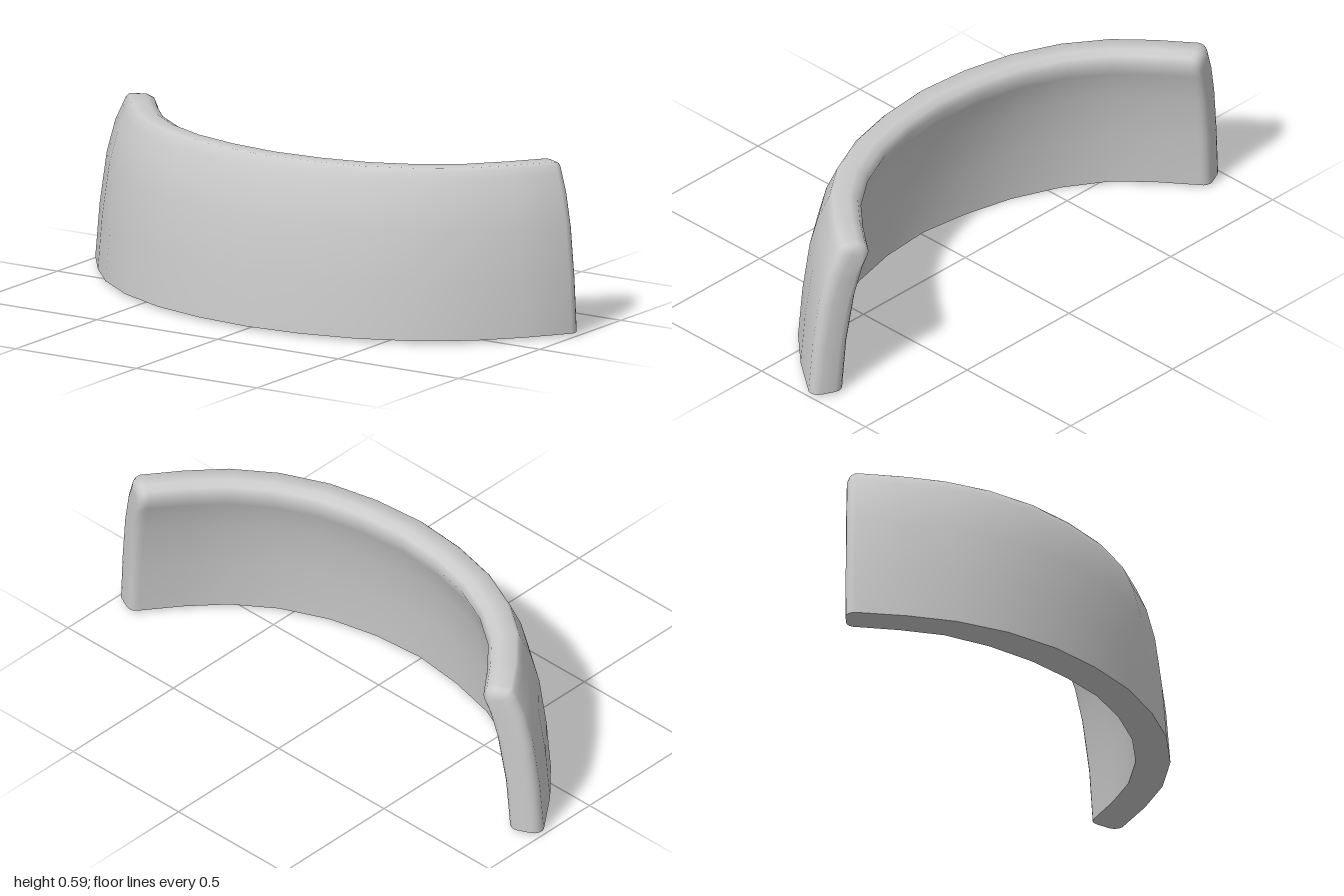
import * as THREE from 'three';
import { toCreasedNormals } from 'three/addons/utils/BufferGeometryUtils.js';

// Plan of the outer base edge, centre to left end: x, z
const PLAN = [[0, 0.325], [0.21, 0.307], [0.41, 0.26], [0.6, 0.175], [0.76, 0.06], [0.88, -0.07], [0.988, -0.215]];
// Wall cross-section: inward offset, height; up the outside, down the inside
const SECTION = [
  [0, 0.01], [0.015, 0.2], [0.04, 0.385], [0.07, 0.5], [0.095, 0.555], [0.107, 0.582], [0.118, 0.593],
  [0.178, 0.593], [0.205, 0.58], [0.217, 0.55], [0.196, 0.5], [0.165, 0.385], [0.135, 0.2], [0.12, 0.01],
];
const BASE = 0.01, HEIGHT = 0.583, ROUND = 0.035, ROUND_STEPS = 4;

// Stations along the left half: position, inward direction, inset of the section
function halfStations() {
  const list = PLAN.map(([x, z], i) => {
    const dir = new THREE.Vector2(0, -1);
    if (i === PLAN.length - 1) dir.set(-0.9, -0.43);
    else if (i > 0) dir.set(PLAN[i + 1][1] - PLAN[i - 1][1], PLAN[i - 1][0] - PLAN[i + 1][0]);
    dir.normalize();
    return { x, z, dx: dir.x, dz: dir.y, inset: 0 };
  });
  // Rounded end: push outwards while the section shrinks
  const end = list[list.length - 1];
  for (let i = 1; i <= ROUND_STEPS; i++) {
    const a = (i / ROUND_STEPS) * Math.PI / 2;
    const push = ROUND * Math.sin(a);
    list.push({ ...end, x: end.x - end.dz * push, z: end.z + end.dx * push, inset: ROUND * (1 - Math.cos(a)) });
  }
  return list;
}

function wallGeometry() {
  const left = halfStations();
  const right = left.slice(1).reverse().map((s) => ({ ...s, x: -s.x, dx: -s.dx }));
  const stations = [...right, ...left];
  const n = SECTION.length, pos = [], idx = [];

  for (const s of stations) {
    SECTION.forEach(([offset, y], j) => {
      const o = offset + (j < n / 2 ? s.inset : -s.inset);
      const x = s.x + s.dx * o;
      let h = BASE + (y - BASE) * (1 - s.inset / HEIGHT);
      // Slight sag of the inner base edge on one side
      if (j === n - 1) h -= 0.01 * Math.max(0, 1 - ((x + 0.33) / 0.36) ** 2);
      pos.push(x, h, s.z + s.dz * o);
    });
  }

  const quad = (a, b, c, d) => idx.push(a, b, c, a, c, d);
  for (let s = 0; s < stations.length - 1; s++) {
    for (let j = 0; j < n; j++) {
      const k = (j + 1) % n;
      quad(s * n + j, (s + 1) * n + j, (s + 1) * n + k, s * n + k);
    }
  }
  // Flat centres of the two ends
  const last = (stations.length - 1) * n;
  for (let j = 0; j < n / 2 - 1; j++) {
    const k = n - 1 - j;
    quad(last + j, last + k, last + k - 1, last + j + 1);
    quad(j, j + 1, k - 1, k);
  }

  const geo = new THREE.BufferGeometry();
  geo.setAttribute('position', new THREE.Float32BufferAttribute(pos, 3));
  geo.setIndex(idx);
  return toCreasedNormals(geo, 1.0);
}

export function createModel() {
  const group = new THREE.Group();
  group.name = 'curvedBackrest';
  const wall = new THREE.Mesh(wallGeometry(), new THREE.MeshStandardMaterial({ color: 0xcccccc }));
  wall.name = 'curvedWall';
  group.add(wall);
  return group;
}
